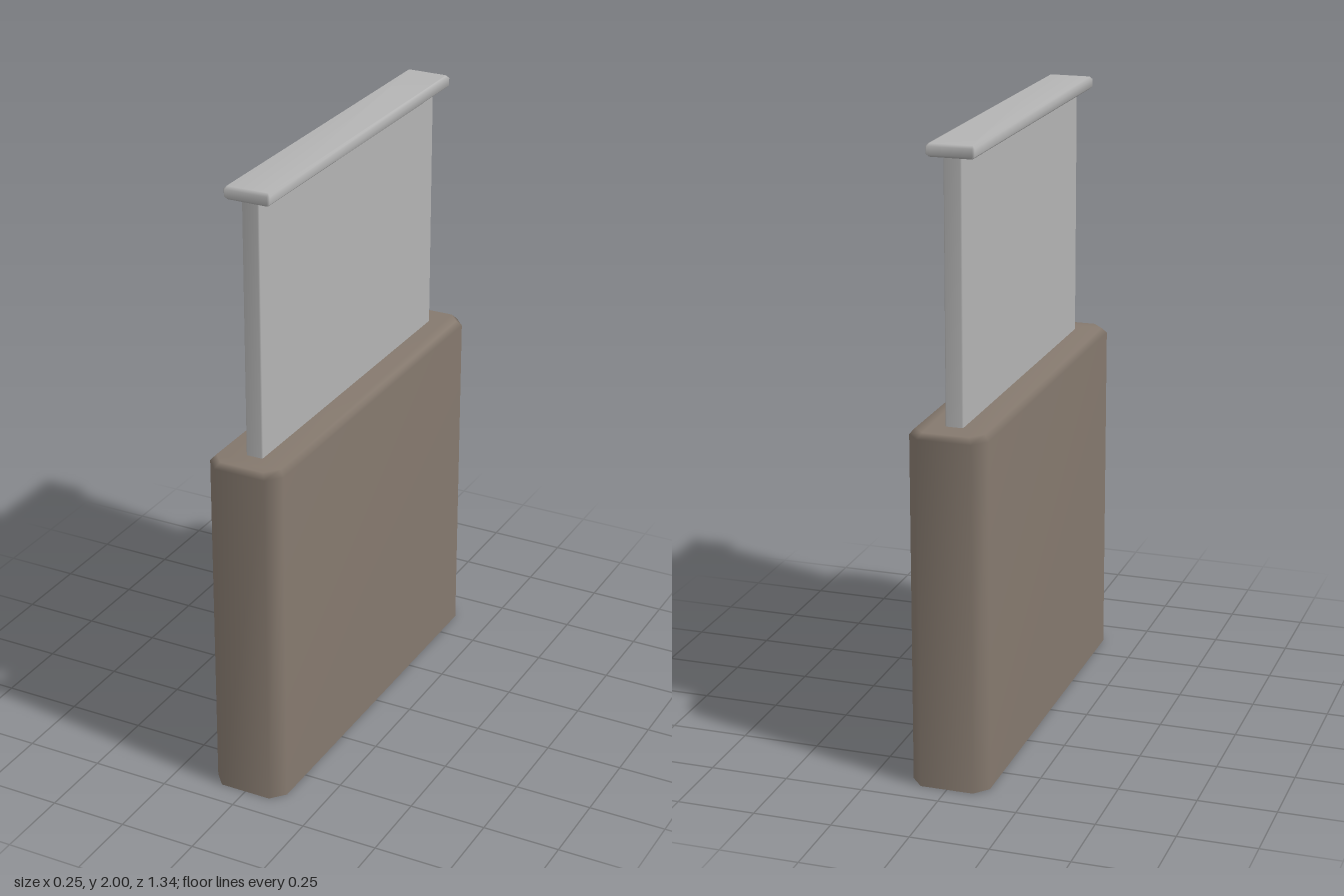
import * as THREE from 'three';

// Eight-cornered outline in x/z: half sizes hx, hz with corners cut by cx, cz
function outline(hx, hz, cx, cz) {
  return [
    [hx, hz - cz], [hx - cx, hz], [-hx + cx, hz], [-hx, hz - cz],
    [-hx, -hz + cz], [-hx + cx, -hz], [hx - cx, -hz], [hx, -hz + cz],
  ];
}

// Smooth loft through rings { y, hx, hz, cx, cz } from bottom to top, with optional end caps
function loft(rings, capBottom, capTop) {
  const positions = [], indices = [], n = 8;
  for (const r of rings) {
    for (const [x, z] of outline(r.hx, r.hz, r.cx, r.cz)) positions.push(x, r.y, z);
  }
  for (let i = 0; i < rings.length - 1; i++) {
    for (let j = 0; j < n; j++) {
      const a = i * n + j, b = i * n + (j + 1) % n;
      indices.push(a, a + n, b, b, a + n, b + n);
    }
  }
  const top = (rings.length - 1) * n;
  for (let j = 1; j < n - 1; j++) {
    if (capBottom) indices.push(0, j, j + 1);
    if (capTop) indices.push(top, top + j + 1, top + j);
  }
  const geometry = new THREE.BufferGeometry();
  geometry.setAttribute('position', new THREE.Float32BufferAttribute(positions, 3));
  geometry.setIndex(indices);
  // Wind every face outwards
  for (let i = 0; i < indices.length; i += 3) {
    const [a, b, c] = [0, 1, 2].map((k) => new THREE.Vector3().fromArray(positions, indices[i + k] * 3));
    const normal = b.clone().sub(a).cross(c.clone().sub(a));
    const middle = a.clone().add(b).add(c).divideScalar(3);
    middle.y -= (rings[0].y + rings[rings.length - 1].y) / 2;
    if (normal.dot(middle) < 0) {
      [indices[i + 1], indices[i + 2]] = [indices[i + 2], indices[i + 1]];
    }
  }
  geometry.setIndex(indices);
  geometry.computeVertexNormals();
  return geometry;
}

export function createModel() {
  const group = new THREE.Group();
  const brown = new THREE.MeshStandardMaterial({ color: 0x85796e, side: THREE.DoubleSide });
  brown.name = 'warm grey brown';
  const grey = new THREE.MeshStandardMaterial({ color: 0xb4b4b4 });
  grey.name = 'light grey';

  const add = (name, geometry, material) => {
    const mesh = new THREE.Mesh(geometry, material);
    mesh.name = name;
    group.add(mesh);
  };

  // Hollow case, open underneath, with a small bevel around the top
  add('case', loft([
    { y: 0, hx: 0.125, hz: 0.669, cx: 0.04, cz: 0.046 },
    { y: 1.125, hx: 0.125, hz: 0.669, cx: 0.04, cz: 0.046 },
    { y: 1.143, hx: 0.109, hz: 0.653, cx: 0.036, cz: 0.042 },
  ], false, true), brown);

  // Flat panel rising out of the case
  const panel = { hx: 0.028, hz: 0.575, cx: 0.004, cz: 0.004 };
  add('panel', loft([{ y: 1.143, ...panel }, { y: 1.965, ...panel }], false, false), grey);

  // Bevelled handle bar along the top of the panel
  const bar = { hx: 0.075, hz: 0.599, cx: 0.006, cz: 0.006 };
  const barEnd = { hx: 0.067, hz: 0.591, cx: 0.004, cz: 0.004 };
  add('handleBar', loft([
    { y: 1.96, ...barEnd },
    { y: 1.968, ...bar },
    { y: 1.992, ...bar },
    { y: 2, ...barEnd },
  ], true, true), grey);

  return group;
}
